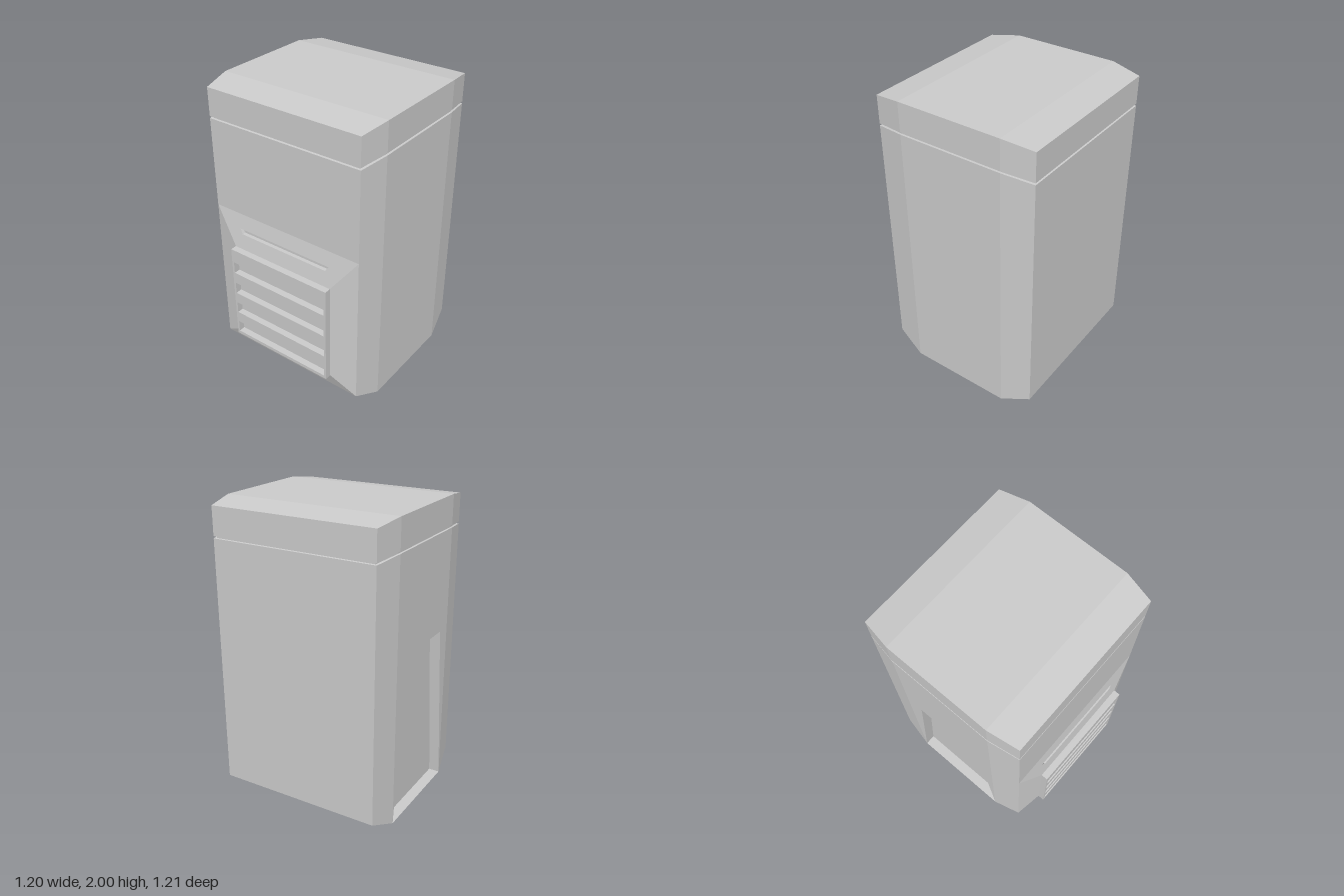
import * as THREE from 'three';

const material = new THREE.MeshStandardMaterial({ color: 0xcccccc, flatShading: true });

// Mesh from flat convex polygons, each wound counter-clockwise from outside.
function polyMesh(name, polygons) {
  const pos = [];
  for (const p of polygons)
    for (let i = 1; i < p.length - 1; i++) pos.push(...p[0], ...p[i], ...p[i + 1]);
  const geo = new THREE.BufferGeometry();
  geo.setAttribute('position', new THREE.Float32BufferAttribute(pos, 3));
  geo.computeVertexNormals();
  const mesh = new THREE.Mesh(geo, material);
  mesh.name = name;
  return mesh;
}

// Rectangular sections [z, half width, bottom, top], listed back to front.
// skip(span, side) leaves a face open; sides are 0 bottom, 1 +x, 2 top, 3 -x.
function loft(sections, skip = () => false) {
  const rings = sections.map(([z, w, y0, y1]) =>
    [[-w, y0, z], [w, y0, z], [w, y1, z], [-w, y1, z]]);
  const faces = [[...rings[0]].reverse(), rings[rings.length - 1]];
  for (let i = 0; i < rings.length - 1; i++)
    for (let j = 0; j < 4; j++) {
      const k = (j + 1) % 4, a = rings[i], b = rings[i + 1];
      if (!skip(i, j)) faces.push([a[j], a[k], b[k], b[j]]);
    }
  return faces;
}

// Four quads joining two matching loops of four points.
const band = (a, b) => a.map((p, i) => [p, a[(i + 1) % 4], b[(i + 1) % 4], b[i]]);

export function createModel() {
  const model = new THREE.Group();
  const back = -0.605, midBack = -0.4, midFront = 0.315, front = 0.515;
  const endW = 0.562, midW = 0.6;

  // Cabinet body, with the middle of its -x side left open for the recess
  const body = loft([
    [back, endW, 0.095, 1.768], [midBack, midW, 0, 1.788],
    [midFront, midW, 0, 1.788], [front, endW, 0.095, 1.768],
  ], (i, j) => i === 1 && j === 3);
  model.add(polyMesh('body', body));

  // Side wall around a tapered recess
  const side = (x, z, y) => [x, y, z];
  const opening = [[midBack, 0], [midFront, 0], [0.21, 1.12], [-0.28, 1.12]];
  const outer = opening.map(([z, y]) => side(-midW, z, y));
  const inner = opening.map(([z, y]) => side(-0.527, z, y));
  const topFront = side(-midW, midFront, 1.788), topBack = side(-midW, midBack, 1.788);
  model.add(polyMesh('sideRecess', [
    [topBack, outer[0], outer[3]],
    [topBack, outer[3], outer[2], topFront],
    [topFront, outer[2], outer[1]],
    inner,
    ...band(outer, inner),
  ]));

  // Inset collar in the gap, and the lid
  model.add(polyMesh('collar', loft([
    [back + 0.015, endW - 0.015, 1.72, 1.80], [midBack, midW - 0.015, 1.72, 1.82],
    [midFront, midW - 0.015, 1.72, 1.82], [front - 0.015, endW - 0.015, 1.72, 1.80],
  ])));
  model.add(polyMesh('lid', loft([
    [back, endW, 1.782, 1.97], [midBack, midW, 1.805, 2],
    [midFront, midW, 1.805, 2], [front, endW, 1.782, 1.97],
  ])));

  // Sloped front surround, with a slot cut into its upper slope
  const raised = 0.56;
  const surround = loft(
    [[front, endW, 0.095, 1.155], [raised, 0.385, 0.215, 0.92]], (i, j) => j === 2);
  const slopeZ = (y) => front + (raised - front) * (1.155 - y) / 0.235;
  const loop = (wLow, yLow, wHigh, yHigh) =>
    [[-wLow, yLow], [wLow, yLow], [wHigh, yHigh], [-wHigh, yHigh]]
      .map(([x, y]) => [x, y, slopeZ(y)]);
  const slope = loop(0.385, 0.92, endW, 1.155);
  const slot = loop(0.335, 1.022, 0.355, 1.055);
  const slotBack = slot.map(([x, y]) => [x, y, front]);
  model.add(polyMesh('frontSurround', [
    ...surround.slice(1), ...band(slope, slot), ...band(slot, slotBack),
  ]));

  // Vent panel with four slots
  const rect = (Type, w, y0, y1) => new Type(
    [[-w, y0], [w, y0], [w, y1], [-w, y1]].map(([x, y]) => new THREE.Vector2(x, y)));
  const panel = rect(THREE.Shape, 0.385, 0.215, 0.92);
  for (let i = 0; i < 4; i++) {
    const y = 0.238 + i * 0.166;
    panel.holes.push(rect(THREE.Path, 0.37, y, y + 0.085));
  }
  const vent = new THREE.Mesh(
    new THREE.ExtrudeGeometry(panel, { depth: 0.045, bevelEnabled: false }), material);
  vent.name = 'ventPanel';
  vent.position.z = raised;
  model.add(vent);

  return model;
}
